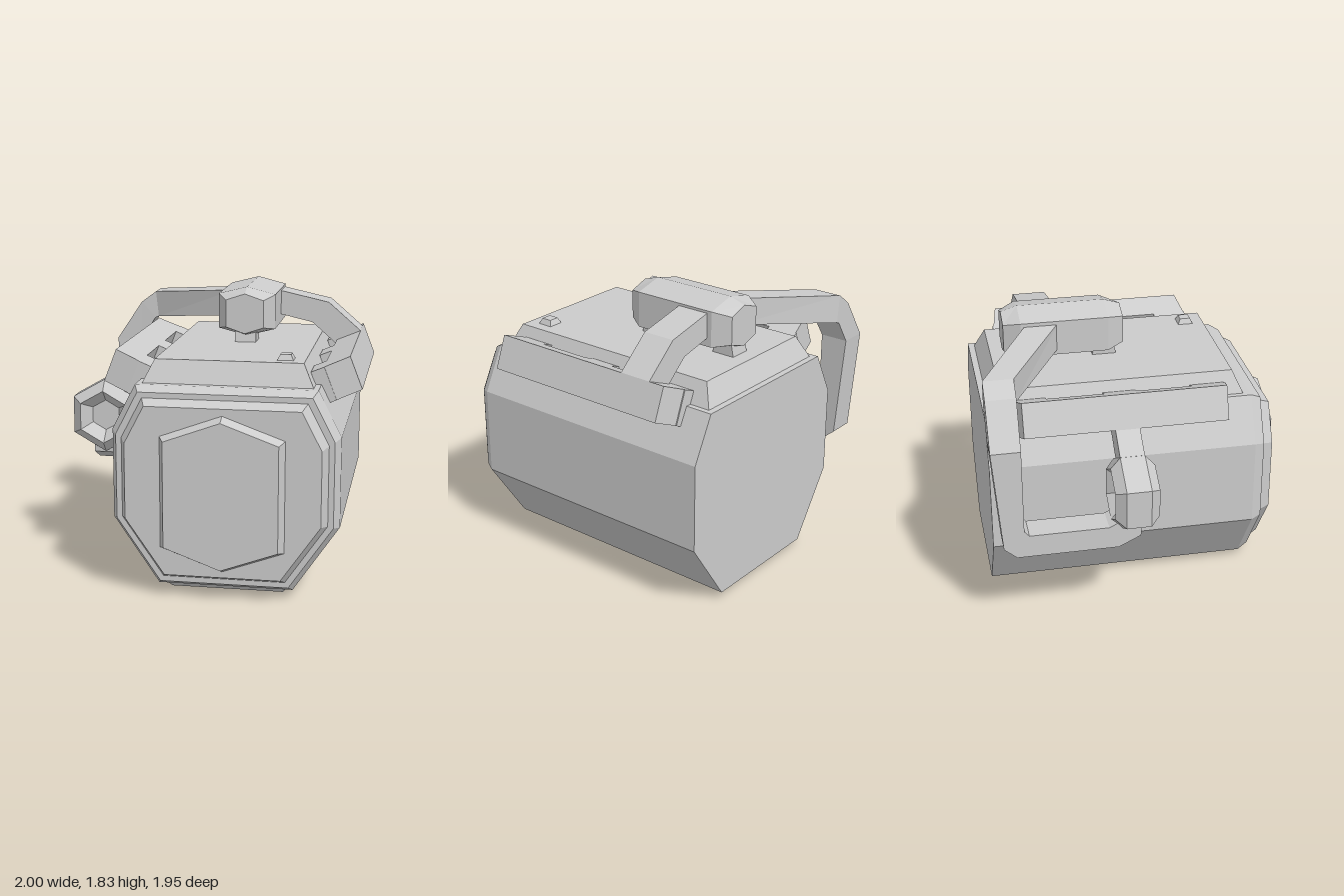
import * as THREE from 'three';

const CX = 0.183; // symmetry axis of the main body
const material = new THREE.MeshStandardMaterial({ color: 0xcccccc, flatShading: true });

function addMesh(group, name, geometry) {
  const mesh = new THREE.Mesh(geometry, material);
  mesh.name = name;
  group.add(mesh);
  return mesh;
}

// Skin a row of equal-length rings of [x, y, z] points and cap both ends.
function loft(rings) {
  const n = rings[0].length;
  const pts = rings.flat();
  let tris = [];
  for (let r = 0; r < rings.length - 1; r++) {
    for (let i = 0; i < n; i++) {
      const a = r * n + i, b = r * n + (i + 1) % n;
      tris.push([a, b, b + n], [a, b + n, a + n]);
    }
  }
  const end = (rings.length - 1) * n;
  for (let i = 1; i < n - 1; i++) tris.push([0, i + 1, i], [end, end + i, end + i + 1]);
  // Turn the faces outward whichever way the rings run
  const v = tris.map(t => t.map(k => new THREE.Vector3(...pts[k])));
  const volume = v.reduce((s, [a, b, c]) => s + a.dot(b.clone().cross(c)), 0);
  if (volume < 0) v.forEach(t => t.reverse());
  const geometry = new THREE.BufferGeometry().setFromPoints(v.flat());
  geometry.computeVertexNormals();
  return geometry;
}

// Rectangle ring lying flat at height y
const rectY = (x, z, w, d, y) => [[x - w, y, z - d], [x + w, y, z - d], [x + w, y, z + d], [x - w, y, z + d]];

// Pointed-top hexagon ring facing z
const hexZ = (x, y, w, shoulder, tip, z) => [
  [x, y + tip, z], [x + w, y + shoulder, z], [x + w, y - shoulder, z],
  [x, y - tip, z], [x - w, y - shoulder, z], [x - w, y + shoulder, z]];

// Flat outline in xy pulled from z0 to z1
function prism(outline, z0, z1) {
  const shape = new THREE.Shape(outline.map(p => new THREE.Vector2(...p)));
  const geometry = new THREE.ExtrudeGeometry(shape, { depth: z1 - z0, bevelEnabled: false });
  return geometry.translate(0, 0, z0);
}

function buildBody(group) {
  // Octagonal canister with a stepped front rim
  const half = [[0.425, -0.64], [0.713, -0.215], [0.713, 0.355], [0.567, 0.64]];
  const outline = [...half, ...half.map(([x, y]) => [-x, y]).reverse()];
  const ring = (inset, z) => outline.map(([x, y]) =>
    [CX + x * (1 - inset / 0.713), 0.685 + y * (1 - inset / 0.64), z]);
  addMesh(group, 'body', loft([
    ring(0, -0.957), ring(0, 0.763), ring(0.035, 0.83), ring(0.07, 0.83), ring(0.105, 0.907)]));

  addMesh(group, 'frontPlate', loft([
    hexZ(CX, 0.683, 0.39, 0.355, 0.497, 0.9), hexZ(CX, 0.683, 0.355, 0.335, 0.465, 0.975)]));
  addMesh(group, 'basePlate', loft([
    rectY(CX, -0.1, 0.355, 0.79, 0), rectY(CX, -0.1, 0.393, 0.826, 0.046)]));
  addMesh(group, 'topPlate', loft([
    rectY(CX, -0.1, 0.535, 0.818, 1.32), rectY(CX, -0.097, 0.465, 0.75, 1.467)]));
  addMesh(group, 'topButton', loft([
    rectY(0.524, 0.527, 0.054, 0.054, 1.46), rectY(0.524, 0.527, 0.034, 0.034, 1.502)]));
}

// Slanted shoulder rails with three inner teeth each
function buildRails(group) {
  for (const side of [1, -1]) {
    const rail = new THREE.Group();
    rail.name = side > 0 ? 'leftRail' : 'rightRail';
    const at = (x, y, z) => [CX + side * (x - CX), y, z];
    const bar = (z0, z1, t0, t1) => loft([[z0, t0], [z1, t1]].map(([z, t]) => [
      at(0.76, 1.433, z), at(0.92, 1.5, t), at(1.0, 1.295, t), at(0.84, 1.228, z)]));
    addMesh(rail, 'railBar', bar(-0.772, 0.58, -0.742, 0.548));
    for (const [z0, z1] of [[-0.778, -0.568], [-0.2, 0.01], [0.365, 0.585]]) {
      addMesh(rail, 'railTooth', loft([z0, z1].map(z => [
        at(0.683, 1.401, z), at(0.765, 1.435, z), at(0.845, 1.23, z), at(0.763, 1.196, z)])));
    }
    group.add(rail);
  }
}

function buildHandle(group) {
  // Hexagonal grip on two short feet
  addMesh(group, 'gripBar', loft([
    hexZ(CX, 1.66, 0.125, 0.09, 0.132, -0.775), hexZ(CX, 1.663, 0.19, 0.115, 0.163, -0.668),
    hexZ(CX, 1.663, 0.19, 0.115, 0.163, -0.102), hexZ(CX, 1.66, 0.125, 0.09, 0.132, 0.005)]));
  for (const z of [-0.11, -0.67]) {
    addMesh(group, 'gripFoot', loft([
      rectY(CX, z, 0.07, 0.08, 1.46), rectY(CX, z, 0.07, 0.06, 1.56)]));
  }
  // Short strap down to the left rail
  addMesh(group, 'shortStrap', prism([
    [0.33, 1.77], [0.373, 1.762], [0.7, 1.69], [0.92, 1.5], [0.85, 1.4],
    [0.75, 1.41], [0.59, 1.55], [0.373, 1.6], [0.33, 1.61]], -0.635, -0.42));
}

// Long strap: from the grip, out behind the body, down and forward to the nozzle
function buildLongStrap(group) {
  const upper = (xo, yo, xi, yi, zb, zf) => [[xo, yo, zb], [xo, yo, zf], [xi, yi, zf], [xi, yi, zb]];
  const lower = (yb, zb, yf, zf) => [[-0.87, yb, zb], [-0.87, yf, zf], [-0.692, yf, zf], [-0.692, yb, zb]];
  addMesh(group, 'longStrap', loft([
    upper(0.04, 1.76, 0.04, 1.585, -0.62, -0.41),
    upper(-0.585, 1.685, -0.565, 1.505, -0.975, -0.785),
    upper(-0.69, 1.607, -0.59, 1.495, -0.975, -0.785),
    upper(-0.87, 1.34, -0.692, 1.34, -0.975, -0.79),
    lower(0.665, -0.92, 0.78, -0.79),
    lower(0.596, -0.84, 0.745, -0.76),
    lower(0.596, -0.2, 0.745, -0.26),
    lower(0.665, -0.06, 0.79, -0.17),
    lower(0.82, -0.05, 0.82, -0.16)]));
}

function buildNozzle(group) {
  // Hexagonal drum, bevelled and dished at both ends
  const ring = (r, z) => hexZ(-0.78, 0.932, r * 0.875, r / 2, r, z);
  addMesh(group, 'nozzle', loft([
    ring(0.104, -0.16), ring(0.18, -0.236), ring(0.252, -0.175),
    ring(0.252, -0.02), ring(0.18, 0.044), ring(0.104, -0.035)]));
  addMesh(group, 'nozzleArm', prism([
    [-0.777, 1.183], [-0.6, 1.318], [-0.42, 1.255], [-0.63, 1.09], [-0.7, 1.05]], -0.175, -0.02));
}

export function createModel() {
  const group = new THREE.Group();
  group.name = 'canister';
  buildBody(group);
  buildRails(group);
  buildHandle(group);
  buildLongStrap(group);
  buildNozzle(group);
  return group;
}
